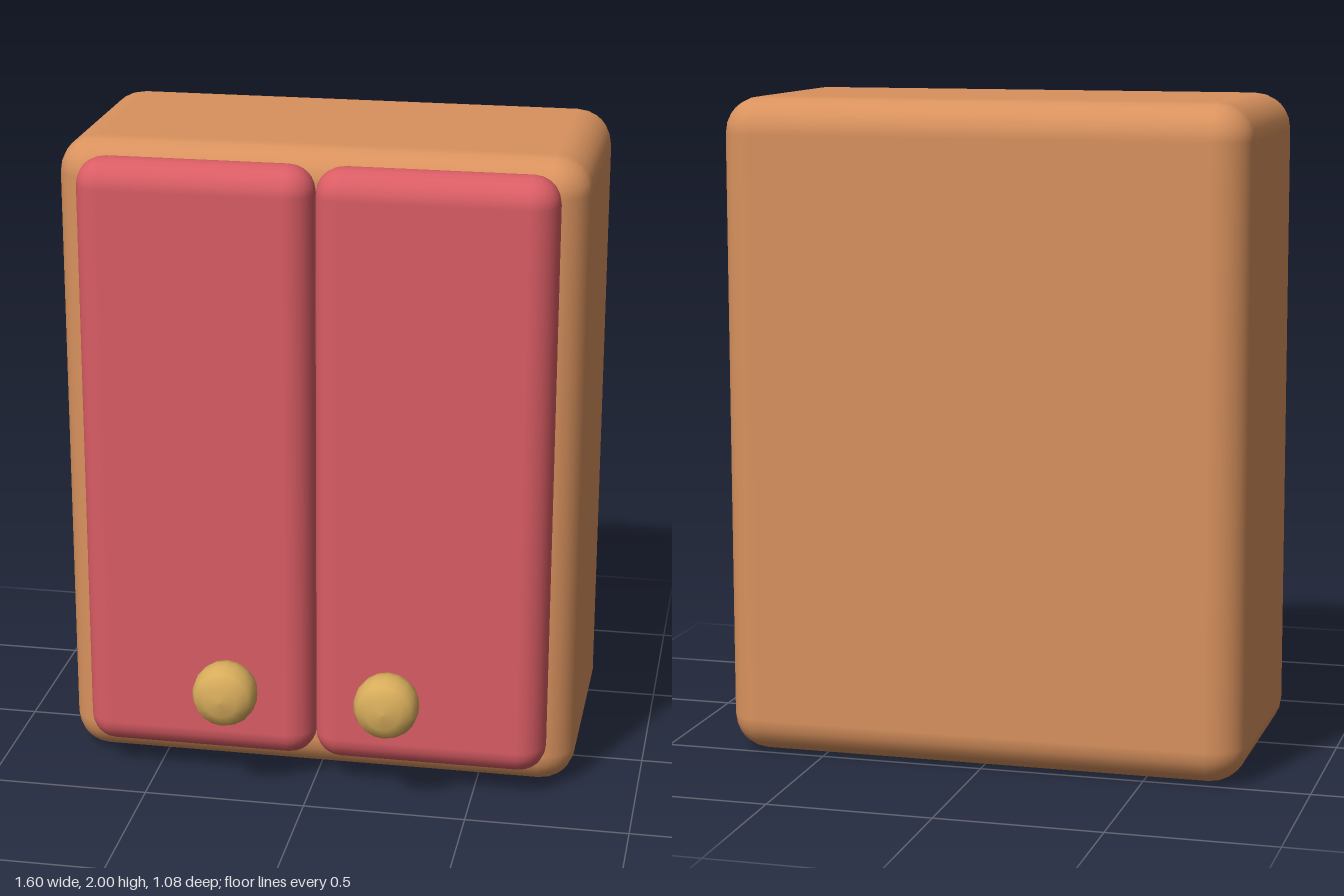
import * as THREE from 'three';
import { RoundedBoxGeometry } from 'three/addons/geometries/RoundedBoxGeometry.js';

function material(name, color) {
  const m = new THREE.MeshStandardMaterial({ color });
  m.name = name;
  return m;
}

export function createModel() {
  const wood = material('orange wood', 0xd9925e);
  const red = material('red paint', 0xda5d65);
  const brass = material('brass', 0xd8ad5c);
  const cream = material('cream', 0xd6c5a0);

  const model = new THREE.Group();
  model.name = 'cupboard';

  function add(parent, name, geometry, mat, x, y, z) {
    const mesh = new THREE.Mesh(geometry, mat);
    mesh.name = name;
    mesh.position.set(x, y, z);
    parent.add(mesh);
    return mesh;
  }

  // Cabinet body
  add(model, 'cabinet', new RoundedBoxGeometry(1.6, 2, 0.8, 3, 0.11), wood, 0, 1, -0.14);

  // Shared door and knob shapes
  const doorGeo = new RoundedBoxGeometry(0.72, 1.885, 0.17, 3, 0.084);
  const stemGeo = new THREE.CylinderGeometry(0.06, 0.06, 0.1, 16).rotateX(Math.PI / 2);
  const profile = [[0, 0.405], [0.075, 0.408], [0.094, 0.425], [0.1, 0.455],
    [0.098, 0.485], [0.085, 0.515], [0.05, 0.534], [0, 0.54]];
  const knobGeo = new THREE.LatheGeometry(
    profile.map(([r, z]) => new THREE.Vector2(r, z)), 18).rotateX(Math.PI / 2);

  // Mirrored doors, each with a knob on a short stem
  for (const side of [-1, 1]) {
    const door = new THREE.Group();
    door.name = side > 0 ? 'leftDoor' : 'rightDoor';
    add(door, 'doorPanel', doorGeo, red, side * 0.36, 1.0225, 0.275);
    add(door, 'knobStem', stemGeo, cream, side * 0.25, 0.343, 0.37);
    add(door, 'knob', knobGeo, brass, side * 0.25, 0.343, 0);
    model.add(door);
  }
  return model;
}
